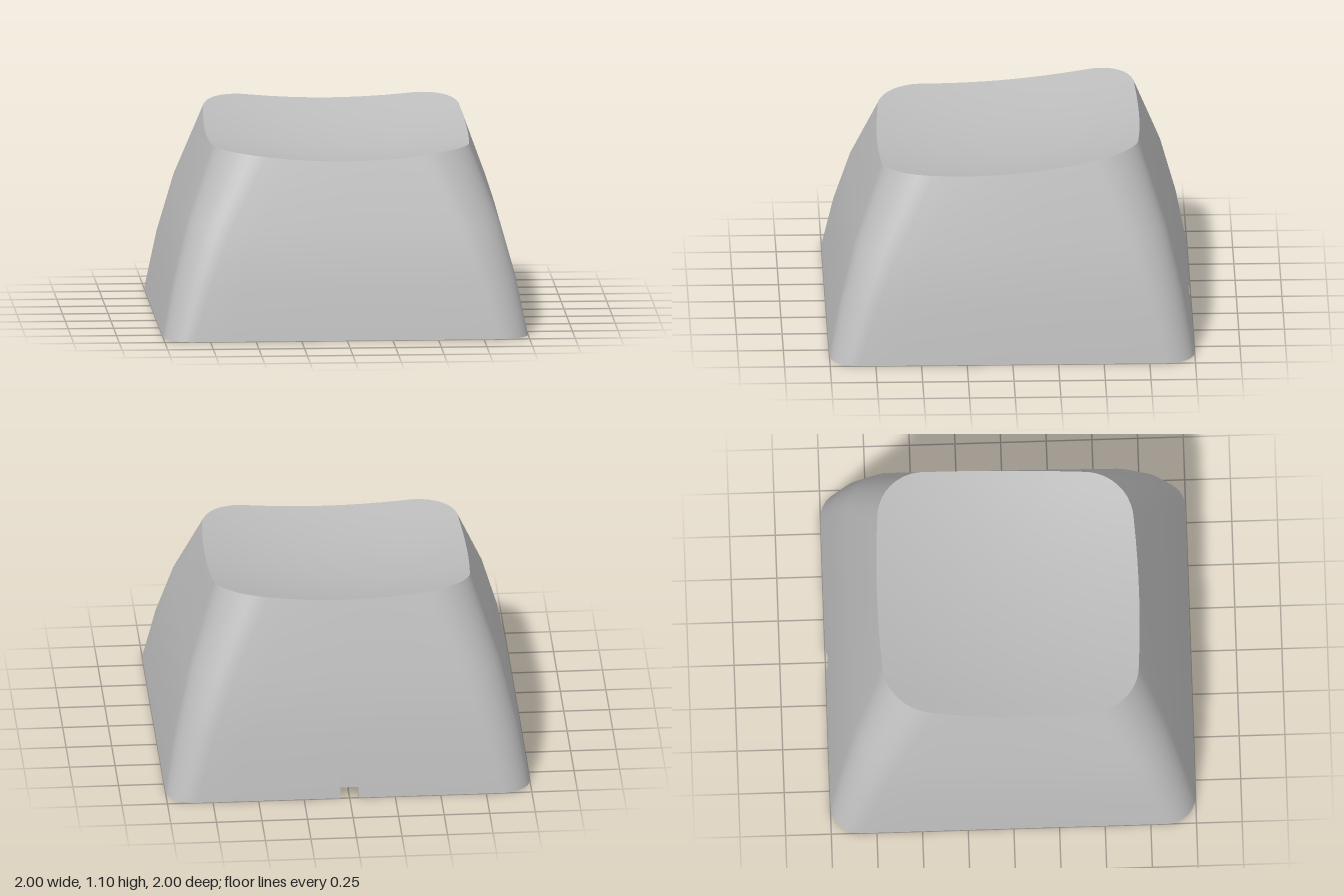
import * as THREE from 'three';
import { toCreasedNormals } from 'three/addons/utils/BufferGeometryUtils.js';

const CEILING = 0.8;
const NOTCH_HEIGHT = 0.06;
const SIDE_STEPS = [-1, -0.75, -0.5, -0.25, -0.06, -0.06, 0.06, 0.06, 0.25, 0.5, 0.75, 1];
const CORNER_STEPS = 10;

// Height of the tilted, spherically dished top
const topHeight = (x, z) => 1.008 - 0.084 * z + 0.15 * (x * x + z * z - 0.511);

// Rounded square with gently bulging sides; notch lifts the middle of the back edge
function ring(half, radius, { bulge = 0, y = 0, notch = 0, notchInset = 0 } = {}) {
  const points = [];
  const straight = half - radius;
  for (let side = 0; side < 4; side++) {
    const n = new THREE.Vector3(Math.round(Math.cos(side * Math.PI / 2)), 0, Math.round(Math.sin(side * Math.PI / 2)));
    const t = new THREE.Vector3(-n.z, 0, n.x);
    const add = (out, along, up) => points.push(
      new THREE.Vector3().addScaledVector(n, out).addScaledVector(t, along).setY(up));
    SIDE_STEPS.forEach((s, i) => {
      const lifted = notch > 0 && side === 3 && (i === 5 || i === 6);
      add(half + bulge * (1 - s * s) - (lifted ? notchInset : 0), s * straight, lifted ? notch : y);
    });
    for (let i = 1; i < CORNER_STEPS; i++) {
      const a = (i / CORNER_STEPS) * Math.PI / 2;
      add(straight + radius * Math.cos(a), straight + radius * Math.sin(a), y);
    }
  }
  return points;
}

// Skin through a list of closed rings
function loft(rings, crease = 0.6) {
  const count = rings[0].length;
  const index = [];
  for (let j = 0; j < rings.length - 1; j++) {
    for (let i = 0; i < count; i++) {
      const a = j * count + i, b = j * count + (i + 1) % count;
      index.push(a, a + count, b, b, a + count, b + count);
    }
  }
  const geometry = new THREE.BufferGeometry().setFromPoints(rings.flat());
  geometry.setIndex(index);
  return toCreasedNormals(geometry, crease);
}

export function createModel() {
  const group = new THREE.Group();
  const plastic = new THREE.MeshStandardMaterial({ color: 0xbcbcbc });
  plastic.name = 'grey plastic';
  const addPart = (name, geometry) => {
    const mesh = new THREE.Mesh(geometry, plastic);
    mesh.name = name;
    group.add(mesh);
  };

  // Outer walls, curving inward up to the edge of the dish
  const topRing = ring(0.703, 0.28, { bulge: 0.015 });
  topRing.forEach(p => { p.y = topHeight(p.x, p.z); });
  const outerBase = ring(1, 0.16, { notch: NOTCH_HEIGHT, notchInset: 0.011 });
  const middle = (t, half, radius, bulge) =>
    ring(half, radius, { bulge }).map((p, i) => p.setY(topRing[i].y * t));
  addPart('outerWalls', loft([
    outerBase,
    middle(0.31, 0.938, 0.195, 0.003),
    middle(0.62, 0.852, 0.23, 0.007),
    topRing,
  ]));

  // Dished top
  const dishRings = [];
  for (let i = 0; i <= 10; i++) {
    const k = 1 - i / 10;
    dishRings.push(topRing.map(p => new THREE.Vector3(p.x * k, topHeight(p.x * k, p.z * k), p.z * k)));
  }
  addPart('topDish', loft(dishRings, 1));

  // Bottom rim with the notch through the back wall
  const innerBase = ring(0.836, 0.04, { notch: NOTCH_HEIGHT, notchInset: 0.016 });
  addPart('bottomRim', loft([innerBase, outerBase]));

  // Hollow underside
  const ceilingEdge = ring(0.62, 0.04, { y: CEILING });
  const ceilingCentre = ceilingEdge.map(() => new THREE.Vector3(0, CEILING, 0));
  addPart('cavity', loft([ceilingCentre, ceilingEdge, innerBase]));

  // Round stem with a cross-shaped socket
  const stem = new THREE.Shape().absarc(0, 0, 0.304, 0, Math.PI * 2, false);
  const w = 0.07, l = 0.245;
  stem.holes.push(new THREE.Path([
    [w, l], [w, w], [l, w], [l, -w], [w, -w], [w, -l],
    [-w, -l], [-w, -w], [-l, -w], [-l, w], [-w, w], [-w, l],
  ].map(([x, y]) => new THREE.Vector2(x, y))));
  const stemGeometry = new THREE.ExtrudeGeometry(stem, { depth: CEILING, bevelEnabled: false, curveSegments: 32 });
  stemGeometry.rotateX(-Math.PI / 2);
  addPart('stem', toCreasedNormals(stemGeometry, 0.6));

  return group;
}
